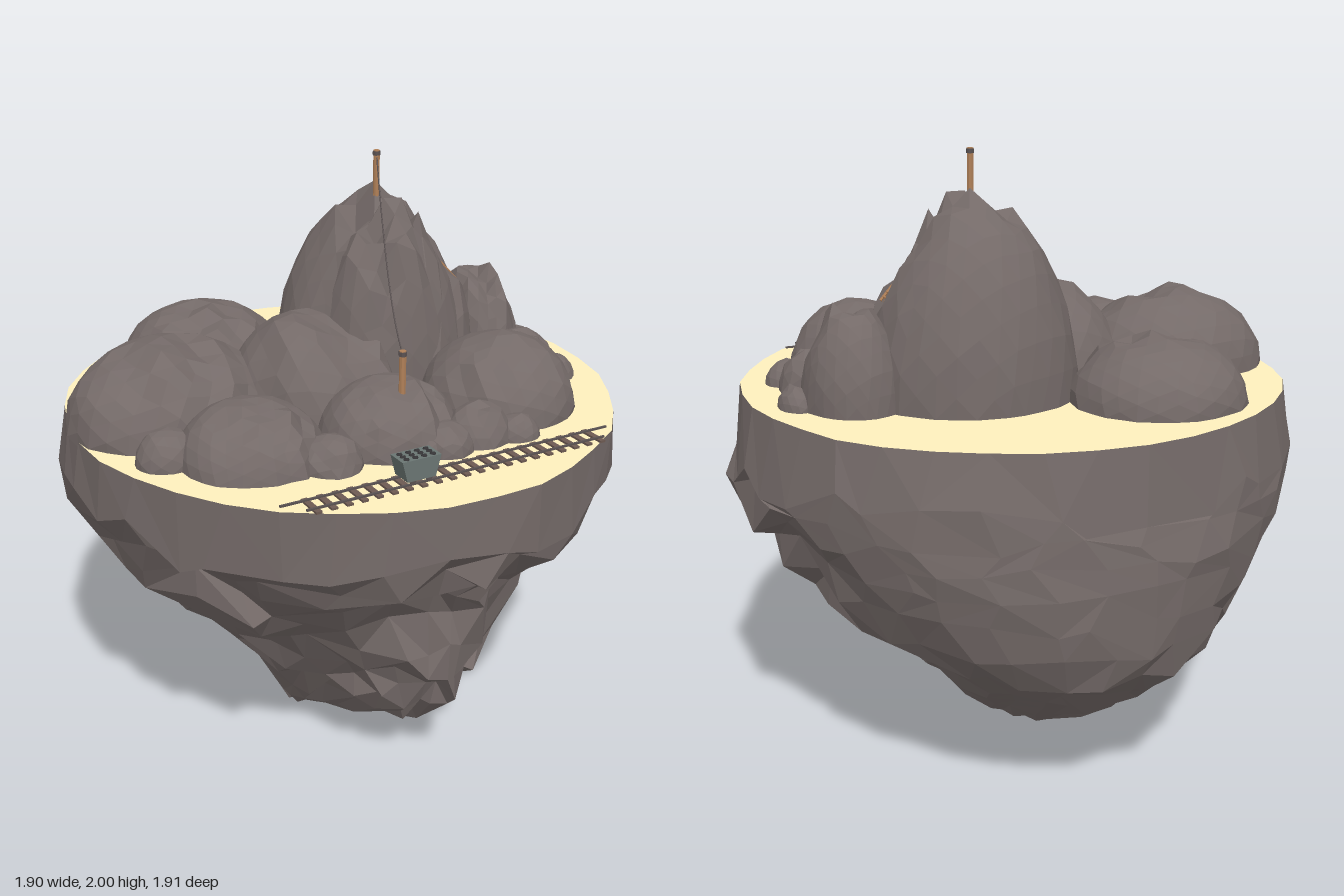
import * as THREE from 'three';

const mat = (color) => new THREE.MeshStandardMaterial({ color, flatShading: true });
const ROCK = mat(0x746a68), SAND = mat(0xfdf0bd), WOOD = mat(0xb08058), SLEEPER = mat(0x6d5a52);
const IRON = mat(0x5a5252), CART = mat(0x6a7572), COAL = mat(0x343335);
const GROUND = 1.22;
const V = (x, y, z) => new THREE.Vector3(x, y, z);

// Repeatable hash in 0..1
function hash(a, b = 0, c = 0) {
  const s = Math.sin(a * 127.1 + b * 311.7 + c * 74.7) * 43758.5453;
  return s - Math.floor(s);
}

function add(parent, name, geometry, material, x = 0, y = 0, z = 0) {
  const m = new THREE.Mesh(geometry, material);
  m.name = name;
  m.position.set(x, y, z);
  parent.add(m);
  return m;
}

// Straight round bar between two points
function bar(parent, name, a, b, r, material, sides = 6) {
  const d = b.clone().sub(a);
  const m = add(parent, name, new THREE.CylinderGeometry(r, r, d.length(), sides), material);
  m.position.copy(a).add(b).multiplyScalar(0.5);
  m.quaternion.setFromUnitVectors(V(0, 1, 0), d.normalize());
}

// Floating island: rings of [y, -x, +x, front z, back z], rough in front and smooth behind
const LEVELS = [
  [1.22, -0.935, 0.915, 0.96, -0.905], [1.02, -0.955, 0.95, 0.96, -0.925], [0.95, -0.93, 0.93, 0.9, -0.935],
  [0.87, -0.88, 0.9, 0.83, -0.945], [0.78, -0.82, 0.86, 0.775, -0.95], [0.68, -0.71, 0.81, 0.75, -0.945],
  [0.58, -0.62, 0.73, 0.725, -0.935], [0.48, -0.53, 0.6, 0.71, -0.9], [0.39, -0.43, 0.48, 0.69, -0.8],
  [0.3, -0.36, 0.4, 0.66, -0.7], [0.2, -0.29, 0.31, 0.53, -0.55], [0.1, -0.25, 0.2, 0.34, -0.37],
  [0.03, -0.21, 0.1, 0.15, -0.2],
];
const SIDES = 36;

function buildIsland(group) {
  const pos = [], idx = [], rim = [];
  LEVELS.forEach(([y, xl, xr, zf, zb], l) => {
    for (let i = 0; i < SIDES; i++) {
      const a = ((i + (l > 0 && l < 11 ? (hash(i, l, 3) - 0.5) * 0.8 : 0)) / SIDES) * Math.PI * 2;
      const c = Math.cos(a), s = Math.sin(a);
      const front = THREE.MathUtils.smoothstep(s, -0.35, 0.25);
      const rough = THREE.MathUtils.smoothstep(s + 0.3 * c, -0.3, 0.25);
      const mid = l > 1 && l < LEVELS.length - 1 ? 1 : 0;
      // Lower front narrows towards a keel, lower back stays full
      const p = 1 + (0.42 * front - 0.12 * (1 - front)) * Math.min(1, l / 7);
      const ledge = hash(Math.floor(i / 3), Math.floor(l / 2), 9) - 0.5;
      const k = 1 + mid * ((0.02 + 0.1 * rough) * (hash(i, l) - 0.5) + 0.09 * rough * ledge)
        - (l === 0 ? 0.02 * hash(i, 2, 4) : 0);
      const x = Math.sign(c) * Math.abs(c) ** p * (c > 0 ? xr : -xl) * k;
      const z = Math.sign(s) * Math.abs(s) ** p * (s > 0 ? zf : -zb) * k;
      const dy = l > 0 ? (hash(i, l, 5) - 0.5) * (l === 1 ? 0.12 : 0.05 + 0.04 * rough) : 0;
      pos.push(x, y + dy * (l > 10 ? 0.3 : 1), z);
      if (l === 0) rim.push(new THREE.Vector2(x, -z));
    }
  });
  for (let l = 0; l < LEVELS.length; l++) {
    for (let i = 0; i < SIDES; i++) {
      const a = l * SIDES + i, b = l * SIDES + (i + 1) % SIDES;
      if (l === LEVELS.length - 1) idx.push(a, b, LEVELS.length * SIDES);
      else if (hash(i, l, 7) > 0.5) idx.push(a, b, a + SIDES, b, b + SIDES, a + SIDES);
      else idx.push(a, b, b + SIDES, a, b + SIDES, a + SIDES);
    }
  }
  pos.push(-0.05, 0, -0.04);
  const g = new THREE.BufferGeometry();
  g.setAttribute('position', new THREE.Float32BufferAttribute(pos, 3));
  g.setIndex(idx);
  g.computeVertexNormals();
  add(group, 'islandRock', g, ROCK);
  add(group, 'sandTop', new THREE.ShapeGeometry(new THREE.Shape(rim)).rotateX(-Math.PI / 2), SAND, 0, GROUND, 0);
}

// Half-dome boulder with a smooth back; its front and crown carry long ridges that end in teeth
function boulder(group, name, [x, z, rx, rz, h], seed, detail, rule) {
  const g = new THREE.IcosahedronGeometry(1, detail), p = g.attributes.position, d = V();
  g.rotateY(seed * 1.3);
  for (let i = 0; i < p.count; i++) {
    d.fromBufferAttribute(p, i);
    const n = hash(Math.round(d.x * 500), Math.round(d.y * 500) + seed, Math.round(d.z * 500)) - 0.5;
    const w = THREE.MathUtils.smoothstep(d.z * 0.7 + d.y * 0.65, 0.3, 0.8);
    const u = (d.x + 1) * 7 + d.z * 0.8 + 2, cell = Math.floor(u);
    const ridge = THREE.MathUtils.lerp(hash(cell, seed), hash(cell + 1, seed), u - cell) - 0.62;
    const k = 1 + w * (0.03 * n + 0.1 * ridge) + (1 - w) * 0.025 * n;
    const ky = 1 + w * (0.05 * n + 0.32 * ridge);
    const q = V(x + d.x * rx * k, GROUND + Math.max(d.y, -0.06) * h * ky, z + d.z * rz * k);
    if (rule) rule(q);
    p.setXYZ(i, q.x, q.y, q.z);
  }
  g.computeVertexNormals();
  add(group, name, g, ROCK);
}

// x, z, x radius, z radius, height
const BOULDERS = [
  [-0.595, -0.045, 0.345, 0.3, 0.27], [-0.29, -0.475, 0.29, 0.285, 0.21], [-0.13, 0.05, 0.285, 0.3, 0.31],
  [-0.06, 0.43, 0.23, 0.21, 0.2], [0.41, 0.345, 0.255, 0.27, 0.23], [0.61, -0.11, 0.165, 0.19, 0.32],
  [-0.5, 0.355, 0.23, 0.23, 0.18],
];
const STONES = [
  [-0.74, 0.27, 0.1, 0.09, 0.11], [0.78, -0.06, 0.06, 0.085, 0.07], [0.65, 0.14, 0.125, 0.12, 0.15],
  [0.7, 0.25, 0.09, 0.08, 0.08], [-0.32, 0.53, 0.1, 0.1, 0.1], [0.05, 0.59, 0.09, 0.09, 0.09],
  [0.18, 0.57, 0.11, 0.1, 0.12], [0.3, 0.61, 0.08, 0.07, 0.07], [-0.02, 0.6, 0.06, 0.05, 0.06],
];
const ladderY = (x) => 1.78 - (x - 0.24) * 1.05;

// Peak leans in on its left and has a groove where the ladder lies
function peakRule(q) {
  const t = Math.max(0, (q.y - GROUND) / 0.63);
  if (q.x > 0.2) q.x = 0.2 + (q.x - 0.2) * (1 - 0.22 * t * t);
  if (q.x > 0.2 && q.x < 0.5 && Math.abs(q.z + 0.05) < 0.06) q.y = Math.min(q.y, ladderY(q.x) - 0.01);
}

function buildRocks(group) {
  boulder(group, 'mainPeak', [0.215, -0.135, 0.355, 0.335, 0.62], 4, 5, peakRule);
  boulder(group, 'peakSpur', [0.2, 0.01, 0.28, 0.195, 0.6], 7, 4, peakRule);
  BOULDERS.forEach((b, i) => boulder(group, 'boulder' + (i + 1), b, i + 11, 4));
  STONES.forEach((b, i) => boulder(group, 'stone' + (i + 1), b, i + 31, 2));
}

// Posts with a sagging cable
function buildCableway(group) {
  const top = V(0.18, 1.99, -0.07), low = V(-0.05, 1.515, 0.49);
  bar(group, 'upperPost', V(0.18, 1.6, -0.07), V(0.18, 2, -0.07), 0.011, WOOD, 8);
  bar(group, 'lowerPost', V(-0.05, 1.3, 0.49), V(-0.05, 1.525, 0.49), 0.011, WOOD, 8);
  for (const p of [top, low]) add(group, 'postCap', new THREE.CylinderGeometry(0.013, 0.013, 0.014, 8), IRON, p.x, p.y, p.z);
  const mid = top.clone().add(low).multiplyScalar(0.5).add(V(0, -0.2, 0));
  add(group, 'cable', new THREE.TubeGeometry(new THREE.QuadraticBezierCurve3(top, mid, low), 20, 0.0025, 5), IRON);
}

// Ladder down the side of the peak
function buildLadder(group) {
  const at = (x, z) => V(x, ladderY(x), z);
  for (const z of [-0.065, -0.028]) bar(group, 'ladderRail', at(0.24, z), at(0.48, z), 0.005, WOOD);
  for (let i = 0; i < 17; i++) {
    const x = 0.25 + i * 0.0137;
    bar(group, 'ladderRung', at(x, -0.07), at(x, -0.023), 0.0045, WOOD);
  }
}

// Railway track along the front
function buildTrack(group) {
  for (let i = 0; i < 21; i++)
    add(group, 'sleeper', new THREE.BoxGeometry(0.02, 0.008, 0.096), SLEEPER, -0.5 + i * 0.05, GROUND + 0.003, 0.744);
  add(group, 'backRail', new THREE.BoxGeometry(1.16, 0.006, 0.007), IRON, -0.005, GROUND + 0.009, 0.714);
  add(group, 'frontRail', new THREE.BoxGeometry(1.05, 0.006, 0.007), IRON, -0.005, GROUND + 0.009, 0.772);
}

// Mine cart: flared tub, coal heap and four wheels
function buildCart(group) {
  const cart = new THREE.Group();
  cart.name = 'mineCart';
  cart.position.set(-0.155, GROUND, 0.743);
  const tub = new THREE.Shape([[-0.048, 0.02], [0.048, 0.02], [0.066, 0.087], [-0.066, 0.087]].map((p) => new THREE.Vector2(...p)));
  add(cart, 'tub', new THREE.ExtrudeGeometry(tub, { depth: 0.07, bevelEnabled: false }), CART, 0, 0, -0.035);
  for (let i = 0; i < 12; i++)
    add(cart, 'coal', new THREE.IcosahedronGeometry(0.014, 0), COAL, -0.045 + (i % 4) * 0.03, 0.08, -0.02 + Math.floor(i / 4) * 0.02);
  for (const x of [-0.028, 0.028]) for (const z of [-0.029, 0.029])
    add(cart, 'wheel', new THREE.CylinderGeometry(0.012, 0.012, 0.008, 10).rotateX(Math.PI / 2), IRON, x, 0.022, z);
  group.add(cart);
}

export function createModel() {
  const group = new THREE.Group();
  group.name = 'floatingIsland';
  for (const build of [buildIsland, buildRocks, buildCableway, buildLadder, buildTrack, buildCart]) build(group);
  return group;
}
